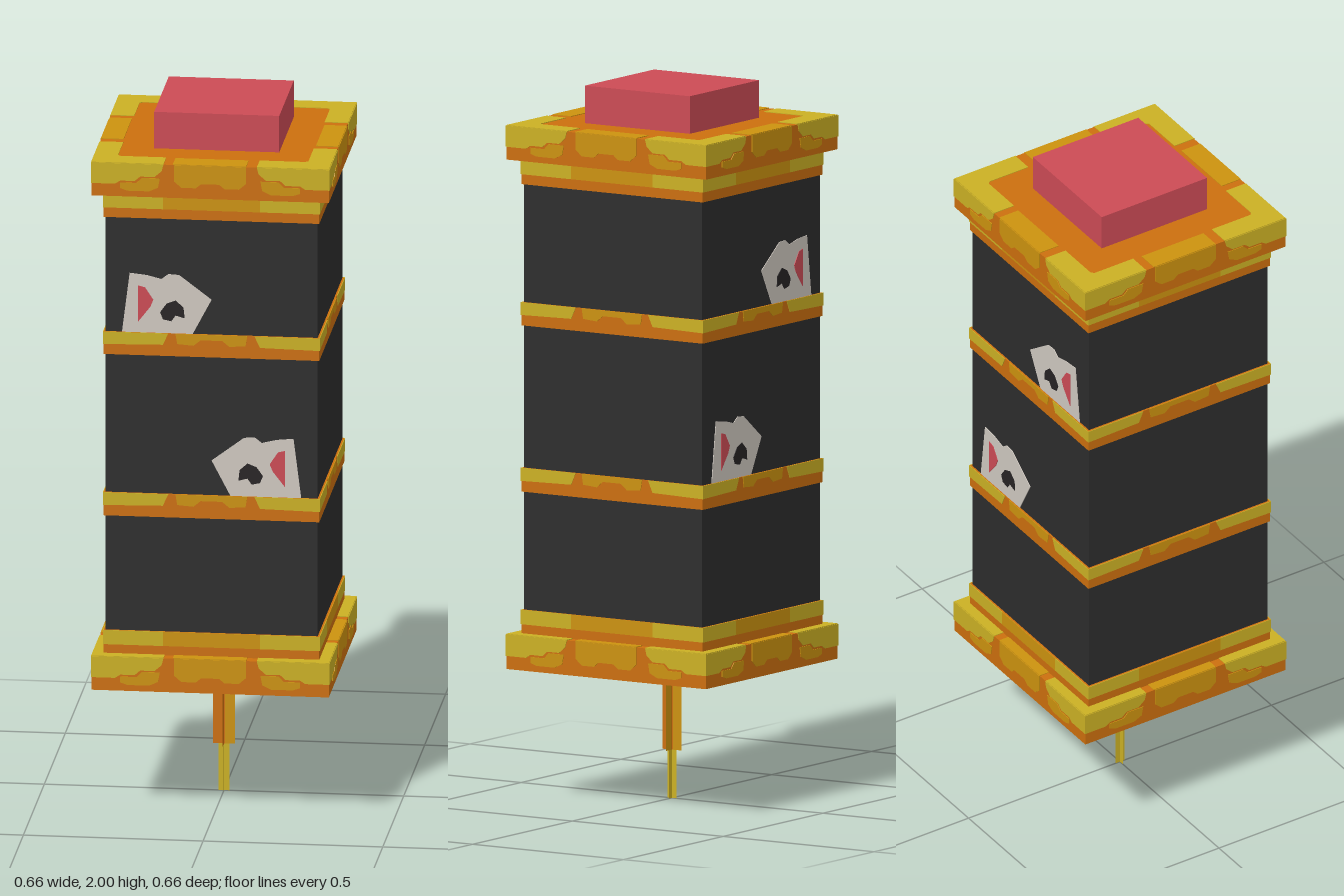
import * as THREE from 'three';

const mat = (name, color, side = THREE.FrontSide) => {
  const m = new THREE.MeshStandardMaterial({ color, side });
  m.name = name;
  return m;
};

export function createModel() {
  const root = new THREE.Group();
  root.name = 'cardTower';
  const orange = mat('orange', 0xcc6f0e, THREE.DoubleSide);
  const amber = mat('amber', 0xcc920f, THREE.DoubleSide);
  const yellow = mat('yellow', 0xcbb024, THREE.DoubleSide);
  const charcoal = mat('charcoal', 0x2d2d2d);
  const red = mat('red', 0xcc4b55);
  const paper = mat('paper', 0xcfc8c0);
  const ink = mat('ink', 0x262324);
  const brown = mat('darkBrown', 0x4a2a08);

  const add = (name, geometry, material, parent = root) => {
    const mesh = new THREE.Mesh(geometry, material);
    mesh.name = name;
    parent.add(mesh);
    return mesh;
  };
  // Square block between two heights
  const block = (name, half, y0, y1, material, parent = root) => {
    const m = add(name, new THREE.BoxGeometry(half * 2, y1 - y0, half * 2), material, parent);
    m.position.y = (y0 + y1) / 2;
    return m;
  };
  // Thin flat plate from an outline
  const plate = (pts, depth = 0.002) => new THREE.ExtrudeGeometry(
    new THREE.Shape(pts.map(([x, y]) => new THREE.Vector2(x, y))),
    { depth, bevelEnabled: false });
  const mirrorX = (pts) => pts.map(([x, y]) => [-x, y]);

  // Painted edge outlines: x in units, y as a fraction of the band height
  const slabEdge = {
    yellow: [[0.332, 1], [0.13, 1], [0.135, 0.8], [0.155, 0.62], [0.195, 0.62],
      [0.21, 0.48], [0.25, 0.48], [0.265, 0.38], [0.332, 0.38]],
    lower: [[0.14, 0.58], [0.19, 0.58], [0.205, 0.42], [0.25, 0.42],
      [0.25, 0.25], [0.23, 0.18], [0.17, 0.18], [0.145, 0.3]],
    middle: [[-0.1, 1], [-0.1, 0.5], [-0.08, 0.32], [-0.04, 0.32], [-0.025, 0.45],
      [0.025, 0.45], [0.04, 0.32], [0.08, 0.32], [0.1, 0.5], [0.1, 1]],
  };
  const collarEdge = {
    yellow: [[0.302, 1], [0.135, 1], [0.135, 0.4], [0.302, 0.4]],
    middle: [[-0.135, 1], [-0.135, 0.4], [0.135, 0.4], [0.135, 1]],
  };
  const ringEdge = {
    yellow: [[0.302, 1], [0.12, 1], [0.135, 0.5], [0.302, 0.45]],
    middle: [[-0.1, 1], [-0.095, 0.55], [-0.05, 0.5], [-0.03, 0.75], [0.03, 0.75],
      [0.05, 0.5], [0.095, 0.55], [0.1, 1]],
  };

  // Orange band with the same painted edge on all four sides
  function band(name, half, y0, y1, edge) {
    const g = new THREE.Group();
    g.name = name;
    root.add(g);
    block(name + 'Block', half, y0, y1, orange, g);
    const scaled = (pts) => pts.map(([x, y]) => [x, y0 + y * (y1 - y0)]);
    for (let i = 0; i < 4; i++) {
      const side = new THREE.Group();
      side.name = name + 'Side';
      side.rotation.y = i * Math.PI / 2;
      g.add(side);
      const paint = (part, pts, material) => {
        add(part, plate(scaled(pts)), material, side).position.z = half;
      };
      for (const f of [(p) => p, mirrorX]) {
        paint('yellowEdge', f(edge.yellow), yellow);
        if (edge.lower) paint('amberEdge', f(edge.lower), amber);
      }
      paint('amberMiddle', edge.middle, amber);
    }
    return g;
  }

  // Wide slab with corner and middle plates on its top
  function slab(name, y0, y1) {
    const g = band(name, 0.33, y0, y1, slabEdge);
    const corner = [[0.33, 0.13], [0.33, 0.33], [0.13, 0.33], [0.13, 0.265],
      [0.257, 0.265], [0.265, 0.257], [0.265, 0.13]];
    const strip = [[-0.1, 0.268], [0.104, 0.268], [0.104, 0.33], [-0.1, 0.33]];
    for (let i = 0; i < 4; i++) {
      for (const [part, pts, material] of [['topCorner', corner, yellow], ['topMiddle', strip, amber]]) {
        const geo = plate(pts).rotateX(-Math.PI / 2).rotateY(i * Math.PI / 2);
        add(part, geo, material, g).position.y = y1;
      }
    }
  }

  // Tower
  block('body', 0.295, 0.47, 1.8, charcoal);
  slab('base', 0.375, 0.472);
  slab('cap', 1.8, 1.895);
  band('lowerCollar', 0.3, 0.472, 0.54, collarEdge);
  band('upperCollar', 0.3, 1.73, 1.8, collarEdge);
  band('lowerRing', 0.3, 0.87, 0.937, ringEdge);
  band('upperRing', 0.3, 1.335, 1.4, ringEdge);
  block('topButton', 0.174, 1.895, 2, red);

  // Card pairs on the front and back, the lower pair mirrored
  const cards = [[-0.25, 1.395], [-0.228, 1.57], [-0.18, 1.565], [-0.14, 1.555],
    [-0.12, 1.57], [-0.09, 1.568], [0, 1.5], [-0.055, 1.395]];
  const redPip = [[-0.205, 1.43], [-0.205, 1.535], [-0.185, 1.53], [-0.162, 1.495], [-0.17, 1.475]];
  const blackPip = [[-0.143, 1.46], [-0.125, 1.485], [-0.1, 1.495], [-0.078, 1.475],
    [-0.075, 1.445], [-0.1, 1.452], [-0.112, 1.435], [-0.135, 1.44]];
  for (const zSign of [1, -1]) {
    for (const lower of [false, true]) {
      const g = new THREE.Group();
      g.name = lower ? 'lowerCards' : 'upperCards';
      g.position.set(0, lower ? -0.463 : 0, zSign * 0.295);
      root.add(g);
      const f = lower ? mirrorX : (p) => p;
      // Plates are centred on the wall so both walls share one outline
      const layer = (name, pts, material, t) => {
        add(name, plate(f(pts), t * 2), material, g).position.z = -t;
      };
      layer('cardPaper', cards, paper, 0.002);
      layer('redPip', redPip, red, 0.004);
      layer('blackPip', blackPip, ink, 0.004);
    }
  }

  // Fuse: crossed flat strips under an eight-sided collar
  const collar = add('fuseCollar', new THREE.CylinderGeometry(0.032, 0.032, 0.042, 8), orange);
  collar.geometry.rotateY(Math.PI / 8);
  collar.position.y = 0.354;
  for (let i = 0; i < 2; i++) {
    const cross = new THREE.Group();
    cross.name = 'fuseStrip';
    cross.rotation.y = i * Math.PI / 2;
    root.add(cross);
    const strip = (name, x0, x1, y0, y1, material) => {
      const m = add(name, new THREE.PlaneGeometry(x1 - x0, y1 - y0), material, cross);
      m.position.set((x0 + x1) / 2, (y0 + y1) / 2, 0);
    };
    strip('fuseOrangeHalf', -0.031, 0.003, 0.135, 0.375, orange);
    strip('fuseAmberHalf', 0.003, 0.031, 0.135, 0.375, amber);
    strip('fuseTip', -0.015, 0.015, 0, 0.135, yellow);
  }

  // Small marks beneath the base, around the fuse
  for (let i = 0; i < 4; i++) {
    const geo = new THREE.BoxGeometry(0.03, 0.007, 0.012).translate(0.088, 0, 0).rotateY(i * Math.PI / 2);
    add('baseMark', geo, brown).position.y = 0.3715;
  }
  return root;
}
